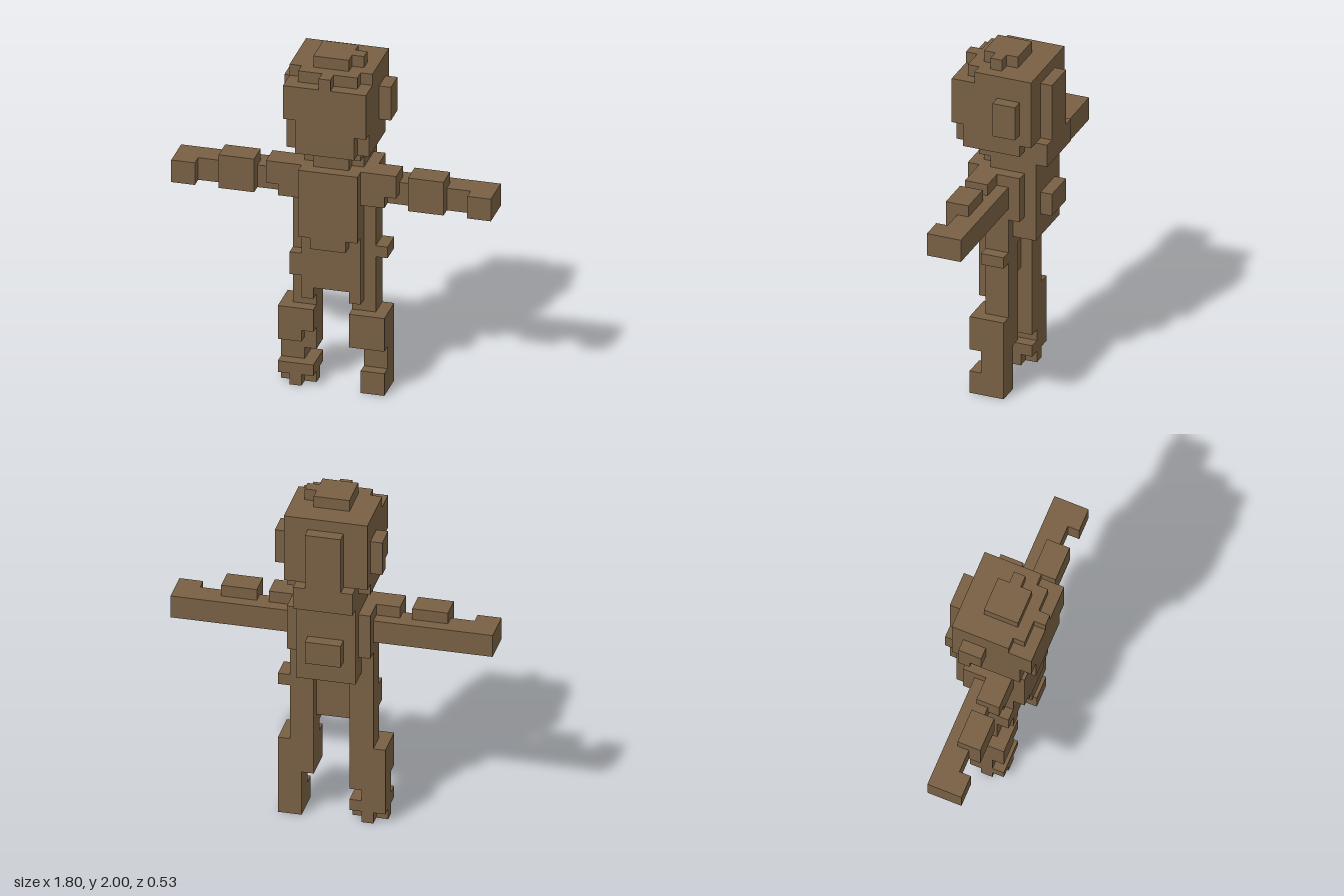
import * as THREE from 'three';

// Blocky figure on a cell grid; boxes are [x0, x1, y0, y1, z0, z1] in cells of 1/15 unit.
const CELL = 1 / 15;

// mirror a list of boxes across x = 0
const mirror = (boxes) => boxes.map(([a, b, ...rest]) => [-b, -a, ...rest]);
const both = (boxes) => [...boxes, ...mirror(boxes)];

const armLeft = [
  [3.5, 13.5, 17, 19, -1, 1],   // arm core
  [11.5, 13.5, 17, 19, 1, 2],   // hand
  [6.5, 9.5, 17, 19, 1, 2],     // forearm guard
  [6.5, 9.5, 19, 20, 0, 2],
  [3.5, 5.5, 18, 20, 0, 2],     // shoulder
  [3.5, 4.5, 17, 18, 1, 2],
];

const parts = {
  head: {
    add: [[-3.5, 3.5, 22, 29, -3, 4]],
    cut: [
      [-3.5, -0.5, 28, 29, 3, 4], [0.5, 3.5, 28, 29, 3, 4],   // brow step
      ...both([[2.5, 3.5, 28, 29, 2, 3], [2.5, 3.5, 22, 23, -3, -2]]),
      [-3.5, -2.5, 22, 25, 3, 4], [2.5, 3.5, 22, 24, 3, 4],   // jaw corners
    ],
  },
  crown: { add: [[-1.5, 1.5, 29, 30, -1, 2], [1.5, 2.5, 29, 30, 0, 1]] },
  ears: {
    add: both([[3.5, 4.5, 24, 27, -2, 0]]),
    cut: [[-4.5, -3.5, 24, 25, -1, 0]],
  },
  headBackPlate: { add: [[-1.5, 1.5, 23, 28, -4, -3], [-2.5, 2.5, 21, 23, -4, -3]] },
  neck: { add: [[-2.5, 2.5, 20, 22, -3, 2]], cut: both([[1.5, 2.5, 20, 21, 1, 2]]) },
  torso: {
    add: [
      [-2.5, 2.5, 13, 20, -1, 2],
      ...both([[2.5, 3.5, 12, 20, -1, 1], [2.5, 3.5, 16, 20, -2, -1], [2.5, 3.5, 17, 20, 1, 2]]),
    ],
  },
  chestPlate: { add: [[-2.5, 2.5, 14, 20, 2, 3], [-1.5, 1.5, 13, 14, 2, 3]] },
  back: { add: [[-2.5, 2.5, 14, 20, -3, -1]] },
  backPouch: { add: [[-1.5, 1.5, 16, 18, -4, -3]] },
  leftArm: { add: armLeft },
  rightArm: { add: mirror(armLeft) },
  pelvis: { add: [[-1.5, 1.5, 9, 13, 0, 2]] },
  hipBump: { add: [[3.5, 4.5, 12, 13, -1, 1]] },
  leftLeg: {
    add: [
      [1.5, 3.5, 7, 13, -1, 1], [1.5, 2.5, 8, 13, 1, 2],   // thigh
      [1.5, 4.5, 4, 7, -1, 2],                             // knee
      [2.5, 4.5, 2, 4, -1, 1],                             // shin
    ],
  },
  leftFoot: { add: [[2.5, 4.5, 0, 2, -1, 2]] },
  rightLeg: {
    add: [
      [-3.5, -1.5, 7, 13, -1, 1], [-2.5, -1.5, 8, 13, 1, 2],
      [-3.5, -2.5, 10, 12, 1, 2],
      [-4.5, -1.5, 4, 7, -1, 2],
      [-4.5, -2.5, 2, 4, -1, 1], [-2.5, -1.5, 3, 4, -1, 1],
    ],
    cut: [[-2.5, -1.5, 4, 5, 1, 2]],
  },
  rightFoot: {
    add: [[-4.5, -1.5, 1, 2, -1, 2], [-4.5, -1.5, 0, 1, 0, 1], [-3.5, -2.5, 0, 1, -1, 2]],
  },
};

// visit every cell of a box by its low corner
function eachCell([x0, x1, y0, y1, z0, z1], visit) {
  for (let x = x0; x < x1; x++)
    for (let y = y0; y < y1; y++)
      for (let z = z0; z < z1; z++) visit([x, y, z]);
}

function cellsOf({ add, cut = [] }) {
  const cells = new Map();
  add.forEach((b) => eachCell(b, (c) => cells.set(c.join(), c)));
  cut.forEach((b) => eachCell(b, (c) => cells.delete(c.join())));
  return cells;
}

// outer skin of a part: only faces with no neighbouring cell
function skin(cells, filled) {
  const pos = [], nor = [];
  for (const c of cells.values()) {
    for (let axis = 0; axis < 3; axis++) {
      for (const side of [-1, 1]) {
        const next = [...c];
        next[axis] += side;
        if (filled.has(next.join())) continue;
        const u = (axis + 1) % 3, v = (axis + 2) % 3;
        const corner = (du, dv) => {
          const p = [...c];
          p[axis] += side > 0 ? 1 : 0;
          p[u] += du;
          p[v] += dv;
          return p.map((n) => n * CELL);
        };
        const q = [corner(0, 0), corner(1, 0), corner(1, 1), corner(0, 1)];
        if (side < 0) q.reverse();
        const n = [0, 0, 0];
        n[axis] = side;
        for (const i of [0, 1, 2, 0, 2, 3]) {
          pos.push(...q[i]);
          nor.push(...n);
        }
      }
    }
  }
  const geo = new THREE.BufferGeometry();
  geo.setAttribute('position', new THREE.Float32BufferAttribute(pos, 3));
  geo.setAttribute('normal', new THREE.Float32BufferAttribute(nor, 3));
  return geo;
}

export function createModel() {
  const group = new THREE.Group();
  group.name = 'blockFigure';
  const brown = new THREE.MeshStandardMaterial({ color: 0x786043 });
  brown.name = 'brown';

  // fill the grid, giving each cell to the first part that claims it
  const filled = new Set();
  const built = Object.entries(parts).map(([name, part]) => {
    const cells = cellsOf(part);
    for (const key of [...cells.keys()]) {
      if (filled.has(key)) cells.delete(key);
      else filled.add(key);
    }
    return [name, cells];
  });

  for (const [name, cells] of built) {
    const mesh = new THREE.Mesh(skin(cells, filled), brown);
    mesh.name = name;
    group.add(mesh);
  }
  return group;
}
